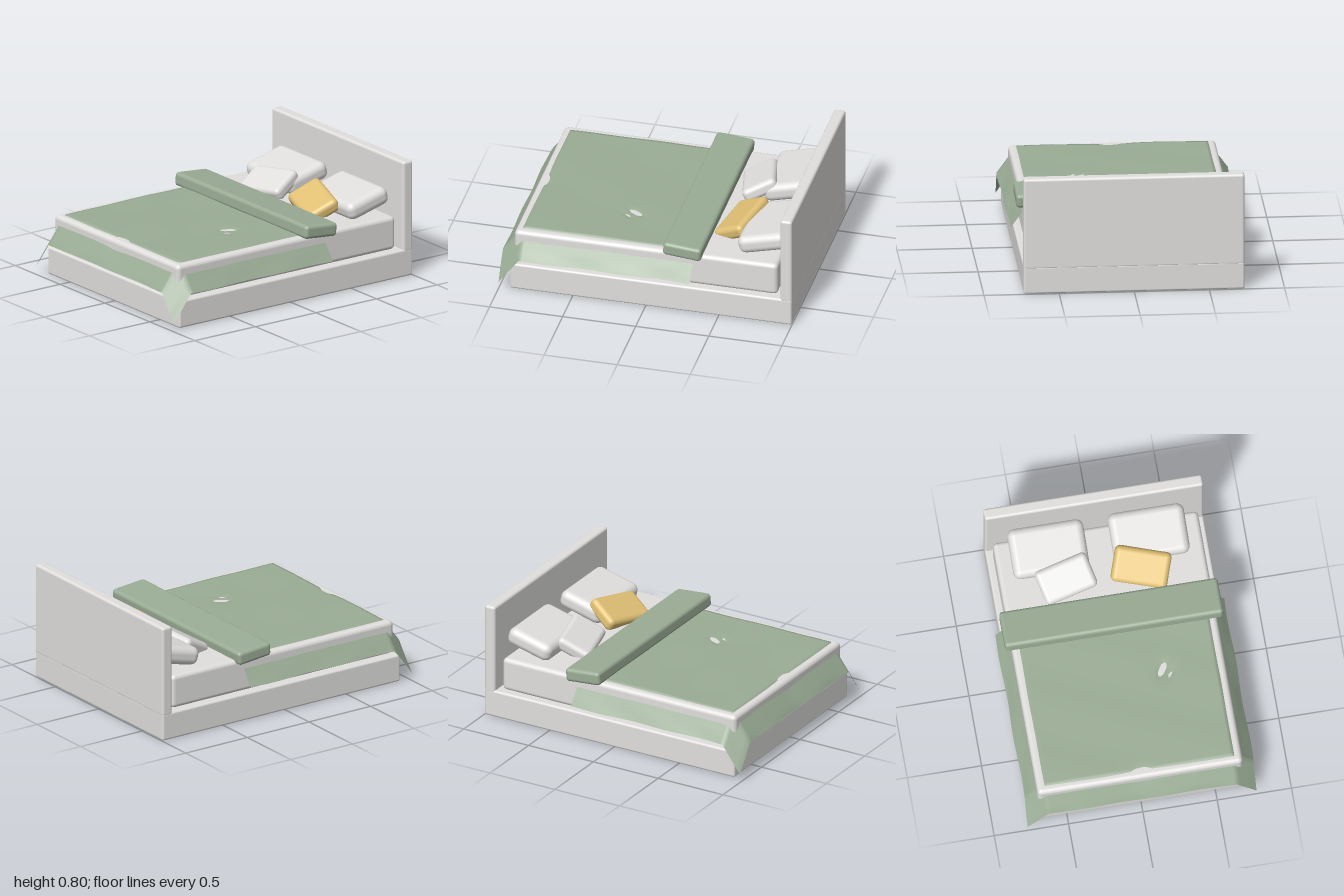
import * as THREE from 'three';
import { RoundedBoxGeometry } from 'three/addons/geometries/RoundedBoxGeometry.js';

const material = (name, color, side = THREE.FrontSide) => {
  const m = new THREE.MeshStandardMaterial({ color, side });
  m.name = name;
  return m;
};

// Draped sheet: flat on top, with the drops past each crease added together at the corners
function blanketGeometry() {
  const geo = new THREE.PlaneGeometry(1.54, 1.31, 80, 65).rotateX(-Math.PI / 2).translate(0, 0, 0.345);
  const p = geo.attributes.position;
  for (let i = 0; i < p.count; i++) {
    const x = p.getX(i), z = p.getZ(i);
    const ripple = 0.0016 * Math.sin(9 * x + 5 * z) + 0.0012 * Math.sin(13 * z - 6 * x + 1);
    const dip = 0.0085 * Math.exp(-(((x - 0.28) / 0.06) ** 2) - ((z - 0.19) / 0.07) ** 2)
      * (1 + 0.5 * Math.sin(70 * x + 45 * z));
    const fold = 0.009 * Math.exp(-((x / 0.1) ** 2) - ((z - 0.89) / 0.05) ** 2);
    const drop = 1.37 * Math.max(0, Math.abs(x) - 0.635) + 1.32 * Math.max(0, z - 0.859);
    p.setY(i, 0.4255 + ripple - dip - fold - drop);
    // slightly uneven hems
    if (Math.abs(x) > 0.75) p.setX(i, x + 0.004 * Math.sin(11 * z));
    if (z > 0.98) p.setZ(i, z - 0.003 + 0.003 * Math.sin(12 * x));
  }
  geo.computeVertexNormals();
  return geo;
}

export function createModel() {
  const bed = new THREE.Group();
  bed.name = 'bed';
  const white = material('off white', 0xe0dfdd);
  const green = material('sage green', 0x9aac95);
  const sheetGreen = material('sage green sheet', 0x9aac95, THREE.DoubleSide);
  const yellow = material('mustard', 0xe0c074);

  const box = (name, mat, size, radius, pos, rot = [0, 0, 0]) => {
    const mesh = new THREE.Mesh(new RoundedBoxGeometry(...size, 5, radius), mat);
    mesh.name = name;
    mesh.position.set(...pos);
    mesh.rotation.set(...rot);
    bed.add(mesh);
  };

  // Frame and mattress
  box('base', white, [1.47, 0.19, 1.929], 0.015, [0, 0.095, -0.0345]);
  box('headboard', white, [1.47, 0.63, 0.08], 0.018, [0, 0.485, -0.96]);
  box('mattress', white, [1.38, 0.23, 1.8], 0.03, [0, 0.305, 0.01]);

  // Blanket and folded throw
  const blanket = new THREE.Mesh(blanketGeometry(), sheetGreen);
  blanket.name = 'blanket';
  bed.add(blanket);
  box('foldedThrow', green, [1.47, 0.093, 0.262], 0.025, [0, 0.45, -0.247], [-0.09, 0, 0]);

  // Pillows leaning back on the headboard
  for (const [name, side] of [['leftPillow', 1], ['rightPillow', -1]])
    box(name, white, [0.51, 0.125, 0.335], 0.05, [side * 0.338, 0.5, -0.753], [0.25, 0, 0]);

  // Small cushions turned inwards
  box('leftCushion', yellow, [0.38, 0.095, 0.245], 0.035, [0.25, 0.473, -0.54], [0.5, -0.31, 0]);
  box('rightCushion', white, [0.37, 0.095, 0.245], 0.035, [-0.255, 0.473, -0.54], [0.47, 0.24, 0]);
  return bed;
}
